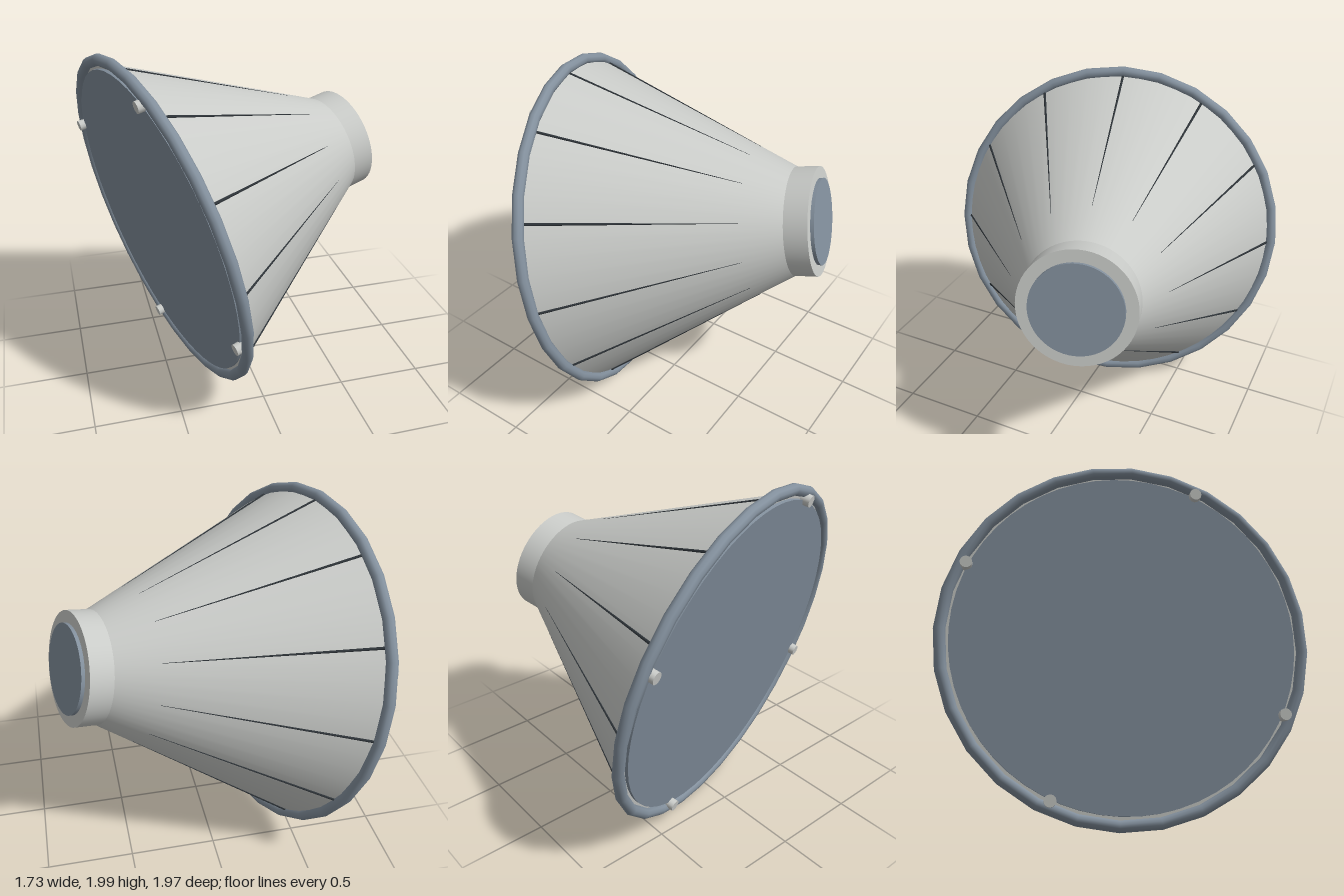
import * as THREE from 'three';

const material = (name, color) => {
  const m = new THREE.MeshStandardMaterial({ color });
  m.name = name;
  return m;
};

export function createModel() {
  const shellGrey = material('pale grey', 0xc9cbc8);
  const slate = material('slate blue', 0x83909d);
  const dark = material('charcoal', 0x2f353a);

  const model = new THREE.Group();
  model.name = 'capsule';

  // Tilted body: local z runs from the wide base to the narrow nose
  const body = new THREE.Group();
  body.name = 'body';
  body.lookAt(0.945, 0.207, -0.251);
  body.position.set(-0.51, 1, 0);
  model.add(body);

  const add = (name, geometry, mat) => {
    const mesh = new THREE.Mesh(geometry, mat);
    mesh.name = name;
    body.add(mesh);
    return mesh;
  };
  // Round section along local z from z0 to z1
  const round = (name, r0, r1, z0, z1, mat, sides = 56) =>
    add(name, new THREE.CylinderGeometry(r1, r0, z1 - z0, sides)
      .rotateX(Math.PI / 2).translate(0, 0, (z0 + z1) / 2), mat);

  const baseR = 0.97, noseR = 0.31, length = 1.21;
  round('hull', baseR, noseR, 0, length, shellGrey);
  round('noseCollar', 0.31, 0.31, length - 0.01, 1.342, shellGrey);
  round('noseHatch', 0.245, 0.245, 1.33, 1.362, slate);
  round('baseShield', 0.935, 0.935, -0.02, 0.01, slate);
  add('baseRing', new THREE.TorusGeometry(0.985, 0.032, 10, 28), slate);

  // Twelve tapering seams half sunk into the hull
  const up = new THREE.Vector3(0, 1, 0);
  for (let i = 0; i < 12; i++) {
    const a = i * Math.PI / 6;
    const at = (z) => {
      const r = baseR + (noseR - baseR) * z / length;
      return new THREE.Vector3(r * Math.cos(a), r * Math.sin(a), z);
    };
    const start = at(0.01), end = at(1.0);
    const span = end.clone().sub(start);
    const seam = add('seam', new THREE.CylinderGeometry(0.001, 0.008, span.length(), 6), dark);
    seam.position.copy(start).add(end).multiplyScalar(0.5);
    seam.quaternion.setFromUnitVectors(up, span.normalize());
  }

  // Four bolts around the base
  for (let i = 0; i < 4; i++) {
    const a = Math.PI / 8 + i * Math.PI / 2;
    const bolt = round('baseBolt', 0.033, 0.033, -0.055, 0, shellGrey, 12);
    bolt.position.set(0.944 * Math.cos(a), 0.944 * Math.sin(a), 0);
  }

  return model;
}
